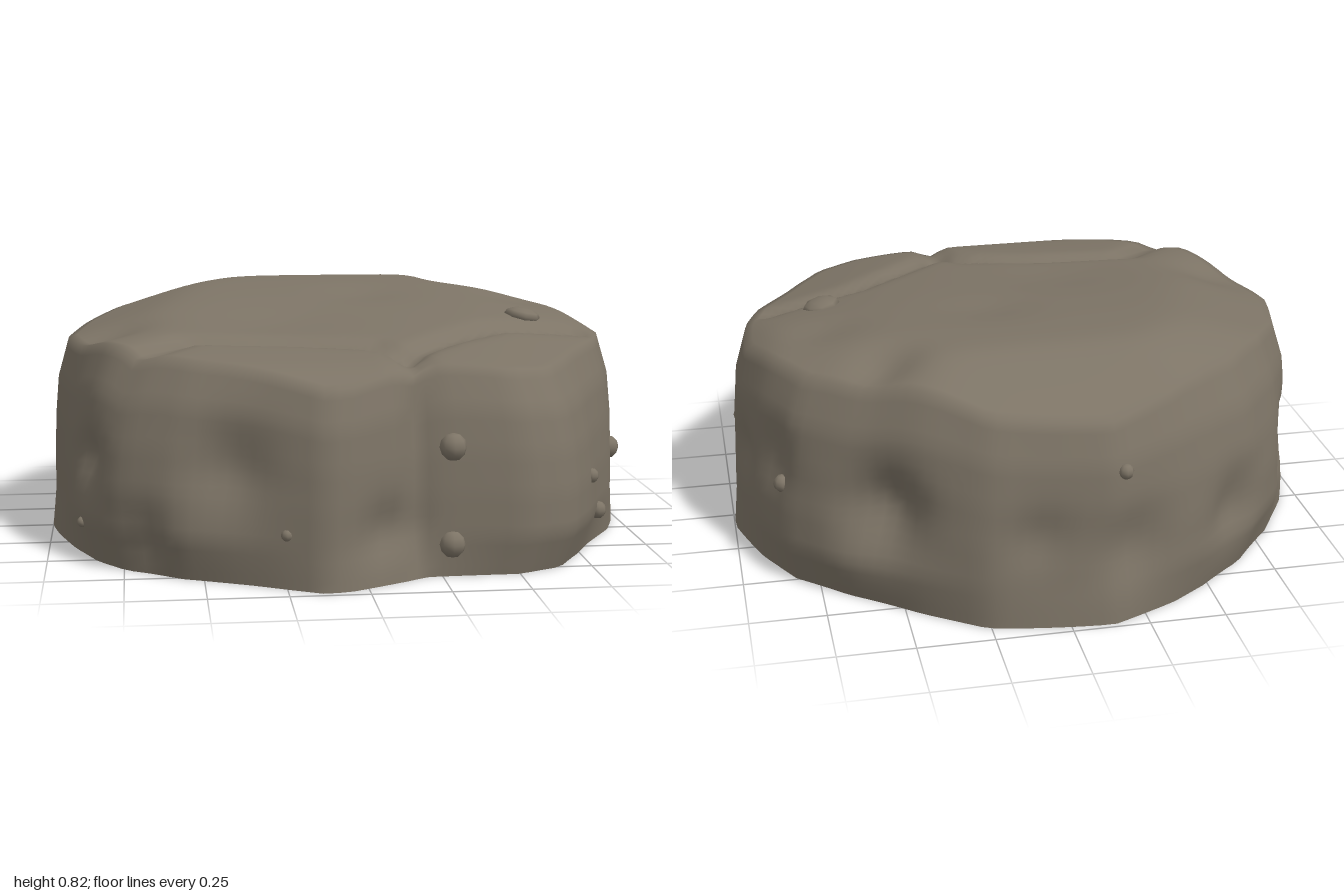
import * as THREE from 'three';

const SEGMENTS = 128, WALL_RINGS = 20, TOP_RINGS = 32;

// plan outline, x and z, clockwise from the back
const OUTLINE = [
  [-0.14, -0.99], [0.26, -0.945], [0.47, -0.83], [0.7, -0.67], [0.86, -0.51], [0.94, -0.32],
  [1.0, -0.08], [0.985, 0.12], [0.94, 0.28], [0.84, 0.48], [0.78, 0.62], [0.68, 0.79], [0.52, 0.855],
  [0.3, 0.84], [0.2, 0.835], [0.14, 0.87], [-0.06, 0.97], [-0.14, 0.985], [-0.35, 0.89], [-0.6, 0.8],
  [-0.78, 0.68], [-0.87, 0.54], [-0.93, 0.35], [-0.98, 0.12], [-1, 0], [-0.95, -0.27],
  [-0.84, -0.5], [-0.68, -0.71], [-0.5, -0.84], [-0.37, -0.91],
];

// wall taper from base to shoulder, along the axes and extra on the diagonals
const TAPER = [1, 0.987, 0.985, 0.98, 0.968, 0.93];
const DIAGONAL_TAPER = [-0.05, 0.012, 0.012, 0, -0.02, -0.05];

// creases behind the two front lobes: points x, z
const CREASES = [
  [[-0.86, 0.6], [-0.66, 0.58], [-0.53, 0.44], [-0.2, 0.48], [0.06, 0.54], [0.16, 0.64]],
  [[0.16, 0.88], [0.16, 0.64], [0.32, 0.46], [0.52, 0.27], [0.82, 0.17]],
];

// hollows in the wall: x, y, z, radius, depth
const WALL_DENTS = [
  [-0.43, 0.36, 0.84, 0.13, 0.05], [0.06, 0.17, 0.9, 0.09, 0.04], [0.58, 0.34, -0.76, 0.14, 0.1],
  [0.95, 0.34, -0.15, 0.09, 0.03], [0.88, 0.4, -0.42, 0.12, 0.035], [-0.9, 0.34, 0.5, 0.09, 0.06],
  [-0.2, 0.25, -0.96, 0.12, 0.04], [-0.62, 0.25, -0.78, 0.12, 0.05], [-0.93, 0.28, -0.33, 0.12, 0.05],
  [-0.7, 0.12, 0.72, 0.1, 0.03], [0.1, 0.3, -0.97, 0.1, 0.03],
];
// hollows in the top: x, z, radius, depth
const TOP_DENTS = [
  [0.52, -0.54, 0.1, 0.04], [0.12, -0.18, 0.14, 0.012], [-0.78, 0.2, 0.13, 0.03],
  [-0.2, 0.2, 0.2, 0.012], [0.68, -0.2, 0.12, 0.015],
];

// half-buried pebbles: x, y, z, radius
const PEBBLES = [
  [0.28, 0.415, 0.815, 0.045], [0.28, 0.105, 0.82, 0.045], [-0.25, 0.17, 0.915, 0.02],
  [-0.04, 0.625, 0.8, 0.02], [-0.885, 0.12, 0.46, 0.018], [0.78, 0.265, 0.6, 0.025],
  [0.835, 0.12, 0.48, 0.03], [0.93, 0.285, 0.23, 0.04], [0.85, 0.33, -0.44, 0.03],
  [-0.17, 0.52, -0.95, 0.025],
];

function outlinePoint(angle) {
  const dx = Math.sin(angle), dz = -Math.cos(angle);
  for (let i = 0; i < OUTLINE.length; i++) {
    const [ax, az] = OUTLINE[i], [bx, bz] = OUTLINE[(i + 1) % OUTLINE.length];
    const ca = dx * az - dz * ax, cb = dx * bz - dz * bx;
    if (ca <= 0 && cb > 0 || ca >= 0 && cb < 0) {
      const t = ca / (ca - cb);
      const x = ax + (bx - ax) * t, z = az + (bz - az) * t;
      if (x * dx + z * dz > 0) return [x, z];
    }
  }
  return [dx, dz];
}

function segmentDistance(x, z, [ax, az], [bx, bz]) {
  const ux = bx - ax, uz = bz - az;
  const t = THREE.MathUtils.clamp(((x - ax) * ux + (z - az) * uz) / (ux * ux + uz * uz), 0, 1);
  return Math.hypot(x - ax - ux * t, z - az - uz * t);
}

// top surface: a plateau blended with sloping facets, with creases and shallow hollows
function topHeight(x, z) {
  const facets = [
    0.815,
    0.793 - 0.13 * z,
    0.81 - 0.32 * (-x - 0.47),
    0.81 - 0.2 * (x - 0.44),
    0.73 - 0.75 * (x - 0.83),
    0.79 - 0.48 * (-z - 0.66),
    0.79 - 0.5 * (0.8 * x - 0.6 * z - 0.7),
    0.79 - 0.45 * (-0.7 * x - 0.7 * z - 0.7),
    0.79 - 0.25 * (0.7 * x + 0.7 * z - 0.28),
    0.695 - 0.12 * (z - 0.6),
    0.68 - 0.5 * (z - 0.77),
  ];
  let y = -Math.log(facets.reduce((sum, f) => sum + Math.exp(-70 * f), 0)) / 70 + 0.006;
  for (const line of CREASES) {
    let d = Infinity;
    for (let i = 1; i < line.length; i++) d = Math.min(d, segmentDistance(x, z, line[i - 1], line[i]));
    y -= 0.03 * Math.exp(-((d / 0.045) ** 2));
  }
  for (const [px, pz, r, depth] of TOP_DENTS) y -= depth * Math.exp(-((x - px) ** 2 + (z - pz) ** 2) / (r * r));
  return y;
}

function wallScale(x, z, v) {
  const diagonal = (2 * x * z / (x * x + z * z)) ** 2;
  const f = Math.min(v * 5, 4.999), i = Math.floor(f);
  const step = (k) => TAPER[k] + DIAGONAL_TAPER[k] * diagonal;
  return THREE.MathUtils.lerp(step(i), step(i + 1), f - i);
}

function wallPoint(ox, oz, v) {
  const top = wallScale(ox, oz, 1), s = wallScale(ox, oz, v);
  const y = v * topHeight(ox * top, oz * top), x = ox * s, z = oz * s;
  let push = 0;
  for (const [px, py, pz, r, depth] of WALL_DENTS) {
    push += depth * Math.exp(-((x - px) ** 2 + (y - py) ** 2 + (z - pz) ** 2) / (r * r));
  }
  // upright cleft between the front lobes, fading out at the base
  if (z > 0) push += 0.035 * Math.min(1, v * 4) * Math.exp(-(((x - 0.165) / 0.03) ** 2));
  const k = 1 - push * Math.min(1, (1 - v) * 5) / Math.hypot(x, z);
  return [x * k, y, z * k];
}

function rockGeometry() {
  const positions = [], indices = [];
  const outline = Array.from({ length: SEGMENTS }, (_, i) => outlinePoint(i / SEGMENTS * Math.PI * 2));
  for (let r = 0; r <= WALL_RINGS; r++) {
    for (const [x, z] of outline) positions.push(...wallPoint(x, z, r / WALL_RINGS));
  }
  for (let r = 1; r < TOP_RINGS; r++) {
    for (const [x, z] of outline) {
      const s = wallScale(x, z, 1) * (1 - r / TOP_RINGS);
      positions.push(x * s, topHeight(x * s, z * s), z * s);
    }
  }
  const rings = WALL_RINGS + TOP_RINGS;
  for (let r = 0; r < rings - 1; r++) {
    for (let i = 0; i < SEGMENTS; i++) {
      const j = (i + 1) % SEGMENTS, a = r * SEGMENTS + i, b = r * SEGMENTS + j;
      indices.push(a, a + SEGMENTS, b, b, a + SEGMENTS, b + SEGMENTS);
    }
  }
  // close the crown, then the flat underside with its own rim for a sharp edge
  const crown = rings * SEGMENTS, last = crown - SEGMENTS, base = crown + 1, rim = crown + 2;
  positions.push(0, topHeight(0, 0), 0, 0, 0, 0);
  for (const [x, z] of outline) positions.push(...wallPoint(x, z, 0));
  for (let i = 0; i < SEGMENTS; i++) {
    const j = (i + 1) % SEGMENTS;
    indices.push(last + i, crown, last + j, rim + i, rim + j, base);
  }
  const geometry = new THREE.BufferGeometry();
  geometry.setAttribute('position', new THREE.Float32BufferAttribute(positions, 3));
  geometry.setIndex(indices);
  geometry.computeVertexNormals();
  return geometry;
}

export function createModel() {
  const stone = new THREE.MeshStandardMaterial({ color: 0x7d7466 });
  stone.name = 'stone';
  const group = new THREE.Group();
  group.name = 'boulder';

  const rock = new THREE.Mesh(rockGeometry(), stone);
  rock.name = 'rock';
  group.add(rock);

  const pebbleGeometry = new THREE.SphereGeometry(1, 8, 6);
  const addPebble = (x, y, z, r) => {
    const pebble = new THREE.Mesh(pebbleGeometry, stone);
    pebble.name = 'pebble';
    pebble.position.set(x, y, z);
    pebble.scale.setScalar(r);
    group.add(pebble);
    return pebble;
  };
  for (const p of PEBBLES) addPebble(...p);

  // flat stone lying on the top
  const flat = addPebble(0.65, topHeight(0.65, 0.09), 0.09, 0.065);
  flat.name = 'flatPebble';
  flat.scale.y = 0.028;
  flat.rotation.z = -0.2;
  return group;
}
